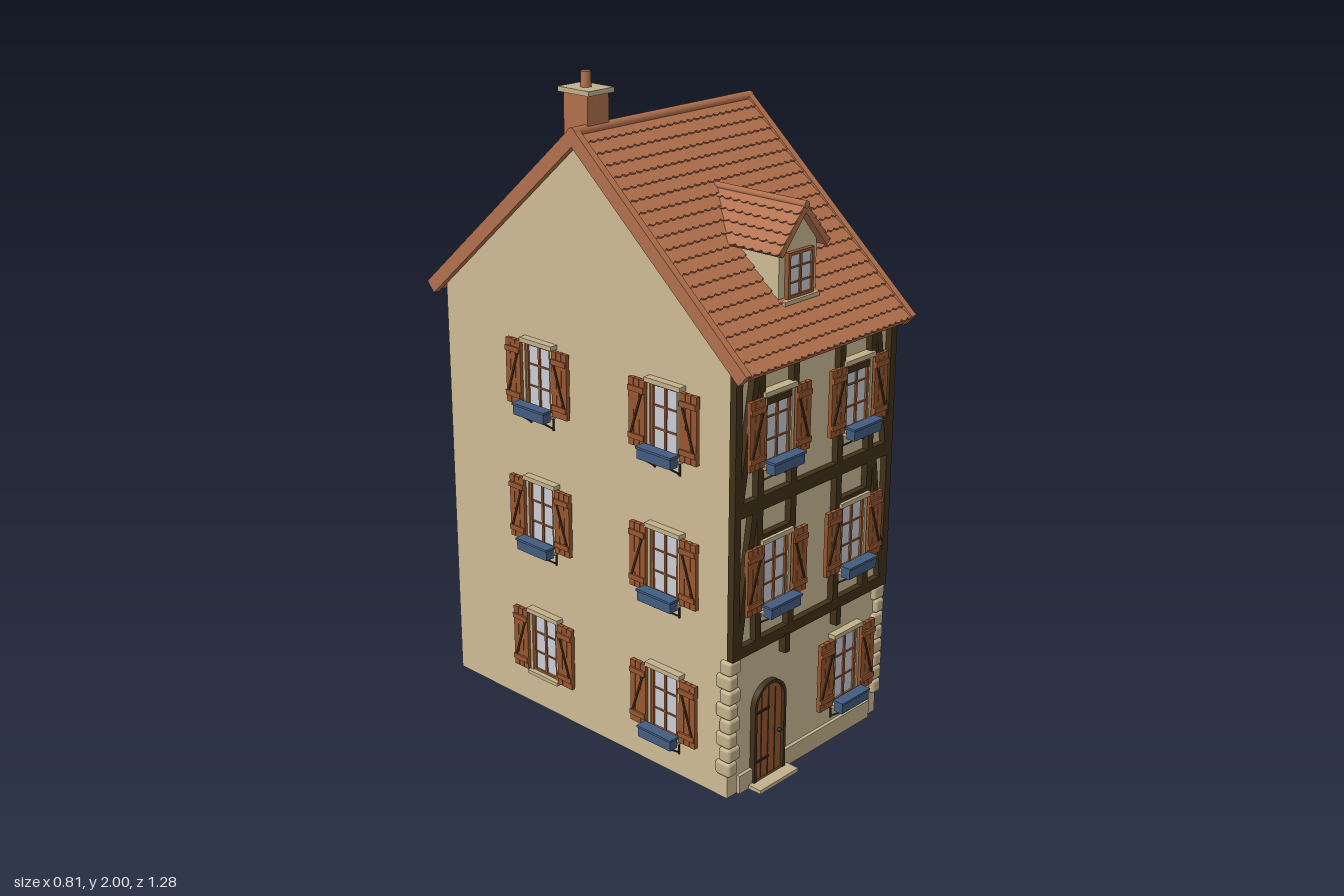
import * as THREE from 'three';
import { RoundedBoxGeometry } from 'three/addons/geometries/RoundedBoxGeometry.js';

const mat = (name, color) => {
  const m = new THREE.MeshStandardMaterial({ color });
  m.name = name;
  return m;
};
const plaster = mat('plaster', 0xcdbb95);
const stone = mat('stone', 0xc2b08b);
const tile = mat('roof tile', 0xb06f4c);
const wood = mat('stained wood', 0x98562f);
const timber = mat('dark timber', 0x413019);
const glass = mat('glass', 0xc9cdd4);
const blue = mat('planter blue', 0x425c80);
const metal = mat('dark metal', 0x2a2826);

function add(parent, name, geo, material, x = 0, y = 0, z = 0) {
  const m = new THREE.Mesh(geo, material);
  m.name = name;
  m.position.set(x, y, z);
  parent.add(m);
  return m;
}
const box = (parent, name, material, w, h, d, x, y, z) =>
  add(parent, name, new THREE.BoxGeometry(w, h, d), material, x, y, z);

function group(parent, name, x = 0, y = 0, z = 0, turn = 0) {
  const g = new THREE.Group();
  g.name = name;
  g.position.set(x, y, z);
  g.rotation.y = turn;
  parent.add(g);
  return g;
}

function polygon(points) {
  return new THREE.Shape(points.map(([x, y]) => new THREE.Vector2(x, y)));
}
const extrude = (shape, depth, curveSegments = 10) =>
  new THREE.ExtrudeGeometry(shape, { depth, bevelEnabled: false, curveSegments });

// Round-headed outline standing on y = 0
function arch(w, h) {
  const r = w / 2, s = new THREE.Shape();
  s.moveTo(-r, 0);
  s.lineTo(r, 0);
  s.lineTo(r, h - r);
  s.absarc(0, h - r, r, 0, Math.PI, false);
  s.lineTo(-r, 0);
  return s;
}

// Casement with muntins inside a frame, facing +z
function casement(parent, w, h) {
  box(parent, 'glass', glass, w, h, 0.008, 0, 0, 0.002);
  for (const s of [-1, 1]) {
    box(parent, 'casementSide', wood, 0.009, h, 0.014, s * (w / 2 - 0.004), 0, 0.005);
    box(parent, 'casementRail', wood, w, 0.009, 0.014, 0, s * (h / 2 - 0.004), 0.005);
    box(parent, 'muntin', wood, w, 0.005, 0.01, 0, s * h / 6, 0.004);
  }
  box(parent, 'mullion', wood, 0.008, h, 0.013, 0, 0, 0.004);
}

function shutter(parent, x, side, h) {
  const g = group(parent, 'shutter', x, 0, 0.017);
  for (let i = -1; i <= 1; i++) box(g, 'plank', wood, 0.0195, h, 0.013, i * 0.021, 0, 0);
  box(g, 'plankBacking', timber, 0.06, h - 0.006, 0.006, 0, 0, -0.002);
  for (const s of [-1, 1]) box(g, 'batten', wood, 0.06, 0.016, 0.008, 0, s * h * 0.35, 0.008);
  const brace = box(g, 'brace', timber, 0.006, h * 0.7, 0.005, 0, 0, 0.0075);
  brace.rotation.z = side * 0.32;
}

function windowUnit(parent, x, y, z, turn, planter, h = 0.2) {
  const g = group(parent, 'window', x, y, z, turn);
  casement(g, 0.106, h);
  for (const s of [-1, 1]) {
    box(g, 'jamb', stone, 0.01, h, 0.024, s * 0.058, 0, 0.004);
    shutter(g, s * 0.097, s, h);
  }
  box(g, 'lintel', stone, 0.135, 0.014, 0.034, 0, h / 2 + 0.006, 0.008);
  box(g, 'sill', stone, 0.13, 0.012, 0.036, 0, -h / 2 - 0.004, 0.01);
  if (!planter) return;
  const py = -h / 2;
  box(g, 'planter', blue, 0.128, 0.034, 0.03, 0, py, 0.043);
  box(g, 'planterRim', blue, 0.134, 0.007, 0.036, 0, py + 0.016, 0.043);
  for (const s of [-1, 1]) {
    const b = box(g, 'bracket', metal, 0.005, 0.005, 0.062, s * 0.048, py - 0.034, 0.025);
    b.rotation.x = -0.61;
    box(g, 'bracketPlate', metal, 0.005, 0.04, 0.005, s * 0.048, py - 0.035, 0.002);
  }
}

// Slope covered with overlapping scalloped rows; ridge at the origin, falling towards +z
function tiledSlope(parent, name, width, length, pitch, rows, tiles, thick) {
  const g = group(parent, name);
  g.rotation.x = pitch - Math.PI / 2;
  box(g, 'roofSlab', tile, width, length, thick, 0, -length / 2, -thick / 2);
  const step = length / rows, t = width / tiles, s = new THREE.Shape();
  s.moveTo(-width / 2, 0);
  s.lineTo(-width / 2, -step);
  for (let i = 0; i < tiles; i++) {
    const x = -width / 2 + i * t;
    s.quadraticCurveTo(x + t / 2, -step - 0.014, x + t, -step);
  }
  s.lineTo(width / 2, 0);
  const row = extrude(s, 0.005, 4);
  for (let r = 0; r < rows; r++)
    add(g, 'tileRow', row, tile, 0, -r * step, -0.003).rotation.x = -0.14;
  return g;
}

export function createModel() {
  const house = new THREE.Group();
  house.name = 'townHouse';

  // Main body, gables facing left and right (profile drawn as -z, y)
  const body = extrude(polygon([[-0.57, 0.1], [0.58, 0.1], [0.58, 1.31], [0, 1.82], [-0.57, 1.31]]), 0.69);
  body.rotateY(Math.PI / 2);
  add(house, 'walls', body, plaster, -0.345);

  // Hollow foot with inner blocks
  for (const s of [-1, 1]) box(house, 'footSide', plaster, 0.03, 0.1, 1.15, s * 0.33, 0.05, -0.005);
  box(house, 'footBack', plaster, 0.63, 0.1, 0.03, 0, 0.05, -0.565);
  box(house, 'frontFloor', plaster, 0.63, 0.1, 0.42, 0, 0.05, 0.36);
  box(house, 'innerBlock', plaster, 0.2, 0.09, 0.24, 0.2, 0.055, 0.03);
  box(house, 'innerBlock', plaster, 0.26, 0.08, 0.2, -0.12, 0.06, -0.22);

  // Main roof
  const pitch = Math.atan2(0.555, 0.63), length = Math.hypot(0.555, 0.63);
  for (const turn of [0, Math.PI]) {
    const half = group(house, 'roofHalf', 0, 1.848, 0, turn);
    const slope = tiledSlope(half, 'roofSlope', 0.72, length, pitch, 20, 26, 0.026);
    for (const s of [-1, 1])
      box(slope, 'vergeTile', tile, 0.022, length + 0.006, 0.042, s * 0.359, -length / 2, -0.009);
  }
  const ridge = new THREE.CylinderGeometry(0.016, 0.016, 0.74, 12).rotateZ(Math.PI / 2);
  add(house, 'ridgeTile', ridge, tile, 0, 1.846, 0);

  // Chimney
  const chimney = group(house, 'chimney', -0.275, 0, -0.037);
  box(chimney, 'stack', tile, 0.082, 0.24, 0.094, 0, 1.825, 0);
  box(chimney, 'cap', stone, 0.098, 0.014, 0.122, 0, 1.949, 0);
  add(chimney, 'pot', new THREE.CylinderGeometry(0.014, 0.016, 0.05, 14), tile, 0, 1.975, 0);

  // Dormer
  const dormer = group(house, 'dormer');
  const front = polygon([[-0.08, 1.39], [0.08, 1.39], [0.08, 1.565], [0, 1.655], [-0.08, 1.565]]);
  add(dormer, 'dormerWall', extrude(front, 0.3), plaster, 0, 0, 0.2);
  casement(group(dormer, 'dormerWindow', 0, 1.478, 0.502), 0.108, 0.13);
  box(dormer, 'dormerSill', stone, 0.15, 0.012, 0.03, 0, 1.405, 0.505);
  for (const s of [-1, 1]) {
    const half = group(dormer, 'dormerRoofHalf', 0, 1.674, 0.37, s * Math.PI / 2);
    tiledSlope(half, 'dormerSlope', 0.31, 0.163, Math.atan2(0.125, 0.108), 5, 10, 0.016);
  }
  const cap = new THREE.CylinderGeometry(0.011, 0.011, 0.33, 10).rotateX(Math.PI / 2);
  add(dormer, 'dormerRidge', cap, tile, 0, 1.672, 0.363);

  // Timber frame on the upper storeys
  const frame = group(house, 'timberFrame', 0, 0, 0.579);
  const beam = (x1, y1, x2, y2, w) => {
    const len = Math.hypot(x2 - x1, y2 - y1);
    const b = box(frame, 'beam', timber, w, len, 0.022, (x1 + x2) / 2, (y1 + y2) / 2, 0);
    b.rotation.z = -Math.atan2(x2 - x1, y2 - y1);
  };
  for (const [y, w] of [[0.46, 0.034], [0.89, 0.042], [1.278, 0.03]]) beam(-0.35, y, 0.35, y, w);
  for (const s of [-1, 1]) {
    beam(s * 0.337, 0.445, s * 0.337, 1.29, 0.026);
    for (const x of [0.102, 0.244]) beam(s * x, 0.46, s * x, 1.28, 0.024);
    for (const [lo, hi] of [[0.475, 0.87], [0.91, 1.265]]) {
      beam(s * 0.325, lo, s * 0.265, hi, 0.022);
      beam(s * 0.1, hi - 0.085, s * 0.245, hi - 0.085, 0.018);
    }
    box(frame, 'joistEnd', timber, 0.02, 0.06, 0.03, s * 0.117, 0.42, 0);
  }

  // Windows, front and both sides
  for (const y of [0.668, 1.1])
    for (const s of [-1, 1]) windowUnit(house, s * 0.174, y, 0.575, 0, true);
  windowUnit(house, 0.17, 0.235, 0.57, 0, true, 0.22);
  for (const s of [-1, 1])
    for (const y of [0.226, 0.666, 1.1])
      for (const z of [0.337, -0.167])
        windowUnit(house, s * 0.345, y, z, s * Math.PI / 2, z > 0 || y > 0.5);

  // Arched plank door with step
  const door = group(house, 'door', -0.178, 0.012, 0.57);
  const rim = arch(0.138, 0.308);
  rim.holes.push(arch(0.118, 0.298));
  add(door, 'doorFrame', extrude(rim, 0.018, 16), timber);
  add(door, 'doorLeaf', extrude(arch(0.12, 0.299), 0.008, 16), wood);
  for (let i = -1; i <= 1; i++)
    box(door, 'plankGap', timber, 0.003, i ? 0.272 : 0.294, 0.004, i * 0.03, i ? 0.138 : 0.148, 0.008);
  for (const y of [0.06, 0.22]) box(door, 'hinge', metal, 0.06, 0.006, 0.004, -0.028, y, 0.011);
  add(door, 'doorKnob', new THREE.SphereGeometry(0.007, 10, 8), metal, 0.043, 0.13, 0.016);
  box(house, 'doorStep', stone, 0.17, 0.012, 0.06, -0.178, 0.006, 0.596);

  // Plinth and corner stones
  box(house, 'plinth', stone, 0.41, 0.058, 0.014, 0.096, 0.029, 0.574);
  box(house, 'plinth', stone, 0.056, 0.058, 0.014, -0.275, 0.029, 0.574);
  for (const s of [-1, 1])
    for (let i = 0; i < 8; i++) {
      const long = i % 2, w = long ? 0.052 : 0.04, d = long ? 0.042 : 0.056;
      add(house, 'cornerStone', new RoundedBoxGeometry(w, 0.045, d, 2, 0.01), stone,
        s * (0.355 - w / 2), 0.095 + i * 0.046, 0.585 - d / 2);
    }
  return house;
}
